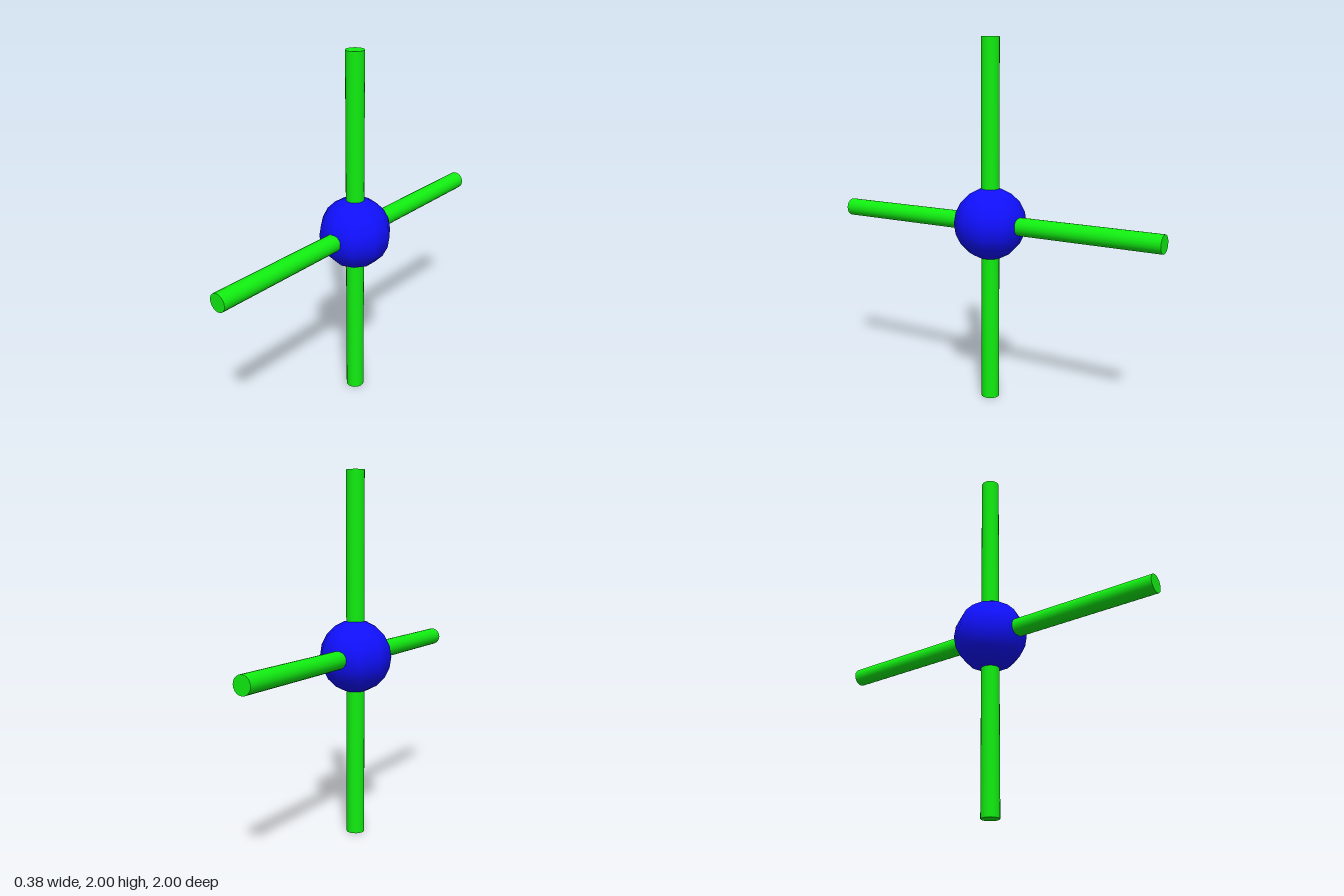
import * as THREE from 'three';

export function createModel() {
  const model = new THREE.Group();
  const green = new THREE.MeshStandardMaterial({ color: 0x11ee11 });
  const blue = new THREE.MeshStandardMaterial({ color: 0x1010ff });

  const add = (name, geometry, material) => {
    const mesh = new THREE.Mesh(geometry, material);
    mesh.name = name;
    mesh.position.y = 1;
    model.add(mesh);
    return mesh;
  };

  // Two crossing rods through the centre
  const rod = new THREE.CylinderGeometry(0.05, 0.05, 2, 20);
  add('verticalRod', rod, green);
  add('horizontalRod', rod, green).rotation.x = Math.PI / 2;

  // Ten-sided hub ball with corners toward front and back
  const ball = new THREE.SphereGeometry(0.2, 10, 10).rotateY(Math.PI / 2);
  add('hubBall', ball, blue);

  return model;
}
